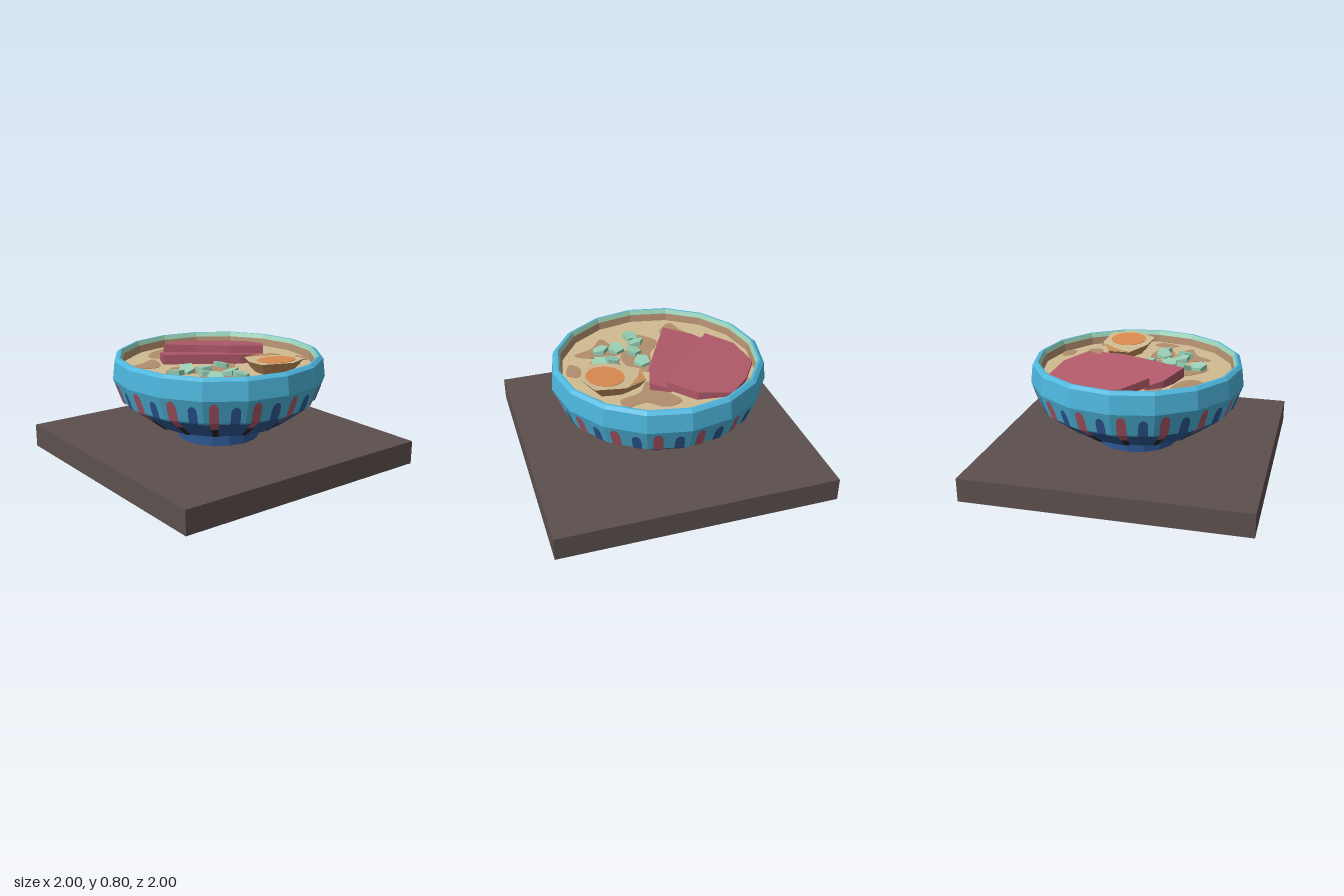
import * as THREE from 'three';

const mat = (name, color) => {
  const m = new THREE.MeshStandardMaterial({ color, flatShading: true });
  m.name = name;
  return m;
};

const SIDES = 16;
const STEP = (Math.PI * 2) / SIDES;
const SOUP_Y = 0.7;

// Outside of the bowl from the foot up, as [radius, height]
const OUTER = [[0.305, 0.255], [0.5, 0.31], [0.684, 0.45], [0.71, 0.47], [0.77, 0.635], [0.755, 0.765], [0.73, 0.785]];

function radiusAt(y) {
  for (let i = 1; i < OUTER.length; i++) {
    const [r0, y0] = OUTER[i - 1], [r1, y1] = OUTER[i];
    if (y <= y1) return r0 + ((r1 - r0) * (y - y0)) / (y1 - y0);
  }
  return OUTER.at(-1)[0];
}

// Flat piece from an [x, z] outline; its top follows topY(x, z), its base can shrink
function slab(outline, thick, topY, baseScale = 1) {
  const shape = new THREE.Shape(outline.map(([x, z]) => new THREE.Vector2(x, -z)));
  const geo = new THREE.ExtrudeGeometry(shape, { depth: thick, bevelEnabled: false });
  geo.rotateX(-Math.PI / 2);
  const cx = outline.reduce((s, p) => s + p[0], 0) / outline.length;
  const cz = outline.reduce((s, p) => s + p[1], 0) / outline.length;
  const pos = geo.attributes.position;
  for (let i = 0; i < pos.count; i++) {
    const x = pos.getX(i), z = pos.getZ(i), h = pos.getY(i);
    const k = h < thick / 2 ? baseScale : 1;
    pos.setXYZ(i, cx + (x - cx) * k, topY(x, z) - thick + h, cz + (z - cz) * k);
  }
  geo.computeVertexNormals();
  return geo;
}

// One painted stripe per facet; sections are [height, half width], both across the facet
function stripes(sections, centre) {
  const out = [];
  for (let f = 0; f < SIDES; f++) {
    const a = (f + 0.5) * STEP;
    const point = (y, u) => {
      const r = radiusAt(y);
      const d = r * Math.cos(STEP / 2) + 0.005, l = r * Math.sin(STEP / 2) * u;
      return [Math.sin(a) * d + Math.cos(a) * l, y - 0.003, Math.cos(a) * d - Math.sin(a) * l];
    };
    for (let i = 1; i < sections.length; i++) {
      const [yt, wt] = sections[i - 1], [yb, wb] = sections[i];
      const lt = point(yt, centre - wt), rt = point(yt, centre + wt);
      const lb = point(yb, centre - wb), rb = point(yb, centre + wb);
      out.push(...lb, ...rb, ...rt, ...lb, ...rt, ...lt);
    }
  }
  const geo = new THREE.BufferGeometry();
  geo.setAttribute('position', new THREE.Float32BufferAttribute(out, 3));
  geo.computeVertexNormals();
  return geo;
}

export function createModel() {
  const root = new THREE.Group();
  root.name = 'noodleSoupBowl';
  const tray = mat('tray brown', 0x5c504e), blue = mat('glaze blue', 0x4db6dc);
  const navy = mat('glaze navy', 0x2f5a98), red = mat('meat red', 0xb25a6a);
  const dark = mat('charcoal', 0x2b2424), cream = mat('broth cream', 0xd0bc92);
  const brown = mat('broth brown', 0xb28e6e), orange = mat('yolk orange', 0xdb8b50);
  const tan = mat('egg tan', 0xc8935c), green = mat('leek green', 0x98d0b5);

  const add = (name, geo, material, parent = root) => {
    const m = new THREE.Mesh(geo, material);
    m.name = name;
    parent.add(m);
    return m;
  };
  const lathe = (pts) => new THREE.LatheGeometry(pts.map(([r, y]) => new THREE.Vector2(r, y)), SIDES);

  // Tray
  add('tray', new THREE.BoxGeometry(2, 0.17, 2), tray).position.y = 0.085;

  // Bowl
  const bowl = new THREE.Group();
  bowl.name = 'bowl';
  root.add(bowl);
  add('foot', lathe([[0.3, 0.17], [0.305, 0.255]]), navy, bowl);
  add('lowerBowl', lathe(OUTER.slice(0, 3)), navy, bowl);
  add('upperBowl', lathe([...OUTER.slice(2), [0.715, 0.785]]), blue, bowl);
  add('innerRim', lathe([[0.715, 0.785], [0.7, 0.753]]), green, bowl);
  add('innerWall', lathe([[0.7, 0.753], [0.69, SOUP_Y]]), brown, bowl);

  // Painted stripes, alternately red and navy
  const tip = (y) => [[y, 0.03], [y - 0.01, 0.14], [y - 0.025, 0.2], [y - 0.06, 0.23], [0.47, 0.23]];
  add('redStripes', stripes([...tip(0.62), [0.4, 0.2]], -0.5), red, bowl);
  add('darkStripeTails', stripes([[0.4, 0.2], [0.31, 0.2], [0.26, 0.12]], -0.5), dark, bowl);
  add('navyStripes', stripes([...tip(0.595), [0.45, 0.23]], 0.5), navy, bowl);

  // Broth with darker swirls
  const broth = new THREE.CircleGeometry(0.69, SIDES).rotateX(-Math.PI / 2);
  add('broth', broth, cream).position.y = SOUP_Y;
  const swirls = [
    [[-0.02, -0.5], [0.1, -0.54], [0.22, -0.45], [0.36, -0.47], [0.38, -0.38], [0.22, -0.32], [0.14, -0.2], [0.05, -0.36]],
    [[0.16, -0.62], [0.27, -0.64], [0.3, -0.56], [0.2, -0.56]],
    [[0.48, -0.42], [0.56, -0.34], [0.64, -0.16], [0.58, -0.24], [0.5, -0.34]],
    [[0.06, -0.08], [0.2, 0.02], [0.22, 0.2], [0.12, 0.32], [0.1, 0.5], [0, 0.46], [-0.1, 0.32], [0, 0.18]],
    [[0.26, 0.04], [0.44, 0.05], [0.46, 0.16], [0.34, 0.2], [0.26, 0.14]],
    [[0.2, 0.24], [0.42, 0.22], [0.54, 0.3], [0.4, 0.36], [0.3, 0.48], [0.24, 0.36]],
    [[-0.62, 0.02], [-0.5, 0.12], [-0.38, 0.24], [-0.46, 0.3], [-0.58, 0.2]],
    [[-0.38, 0.32], [-0.2, 0.37], [-0.16, 0.46], [-0.28, 0.58], [-0.32, 0.46]],
    [[-0.56, -0.36], [-0.4, -0.54], [-0.26, -0.6], [-0.36, -0.5], [-0.5, -0.34]],
    [[0.58, 0], [0.65, 0.04], [0.6, 0.18], [0.54, 0.1]],
  ];
  swirls.forEach((pts) => {
    const curve = new THREE.CatmullRomCurve3(pts.map(([x, z]) => new THREE.Vector3(x, 0, z)), true);
    const outline = curve.getPoints(32).slice(0, -1).map((p) => [p.x, p.z]);
    add('brothSwirl', slab(outline, 0.004, () => SOUP_Y + 0.003), brown);
  });

  // Two fanned meat slices, each rising towards its cut edge
  const along = (x, z) => 0.765 * x + 0.644 * z;
  const cut = [[0.05, -0.38], [-0.1, -0.17], [-0.28, 0], [-0.43, 0.19]];
  add('rearMeatSlice', slab(
    [[-0.36, -0.55], [-0.12, -0.52], ...cut, [-0.6, 0.04], [-0.65, -0.2], [-0.52, -0.4]],
    0.06, (x, z) => 0.79 + 0.14 * (along(x, z) + 0.2)), red);
  add('frontMeatSlice', slab(
    [[0.02, -0.38], [0.15, -0.31], [0.1, -0.13], [0.01, 0.05], [-0.16, 0.37], [-0.36, 0.27], [-0.44, 0.17], [-0.31, 0], [-0.13, -0.19]],
    0.07, (x, z) => 0.782 + 0.17 * (along(x, z) - 0.08)), red);

  // Half egg, tilted up to its left
  const egg = new THREE.Group();
  egg.name = 'halfEgg';
  root.add(egg);
  const eggTop = (x) => 0.782 + 0.08 * (x - 0.4);
  add('eggWhite', slab(
    [[0.16, -0.27], [0.33, -0.355], [0.54, -0.345], [0.61, -0.18], [0.5, 0.01], [0.34, -0.01], [0.16, -0.11]],
    0.12, eggTop, 0.55), [cream, tan], egg);
  const disc = (cx, cz, r, n, turn = 0) => Array.from({ length: n }, (_, i) => {
    const a = turn + (i / n) * Math.PI * 2;
    return [cx + r * Math.cos(a), cz + r * Math.sin(a)];
  });
  add('yolk', slab(disc(0.43, -0.18, 0.135, 14), 0.004, (x) => eggTop(x) + 0.003), orange, egg);
  add('eggStain', slab([[0.165, -0.265], [0.3, -0.335], [0.21, -0.22], [0.165, -0.115]],
    0.004, (x) => eggTop(x) + 0.003), tan, egg);

  // Leek pieces, slightly tipped
  const leeks = [[0.1, 0.05], [0.12, 0.21], [0.07, 0.33], [0.08, 0.43], [0.23, 0.28], [0.35, 0.29], [0.3, 0.13], [0.4, 0.11]];
  leeks.forEach(([x, z], i) => {
    const tx = 0.25 * Math.sin(i * 2.3), tz = 0.25 * Math.cos(i * 1.7);
    add('leekPiece', slab(disc(x, z, 0.06, 5, i * 0.9), 0.035,
      (px, pz) => 0.735 + tx * (px - x) + tz * (pz - z)), green);
  });

  return root;
}
